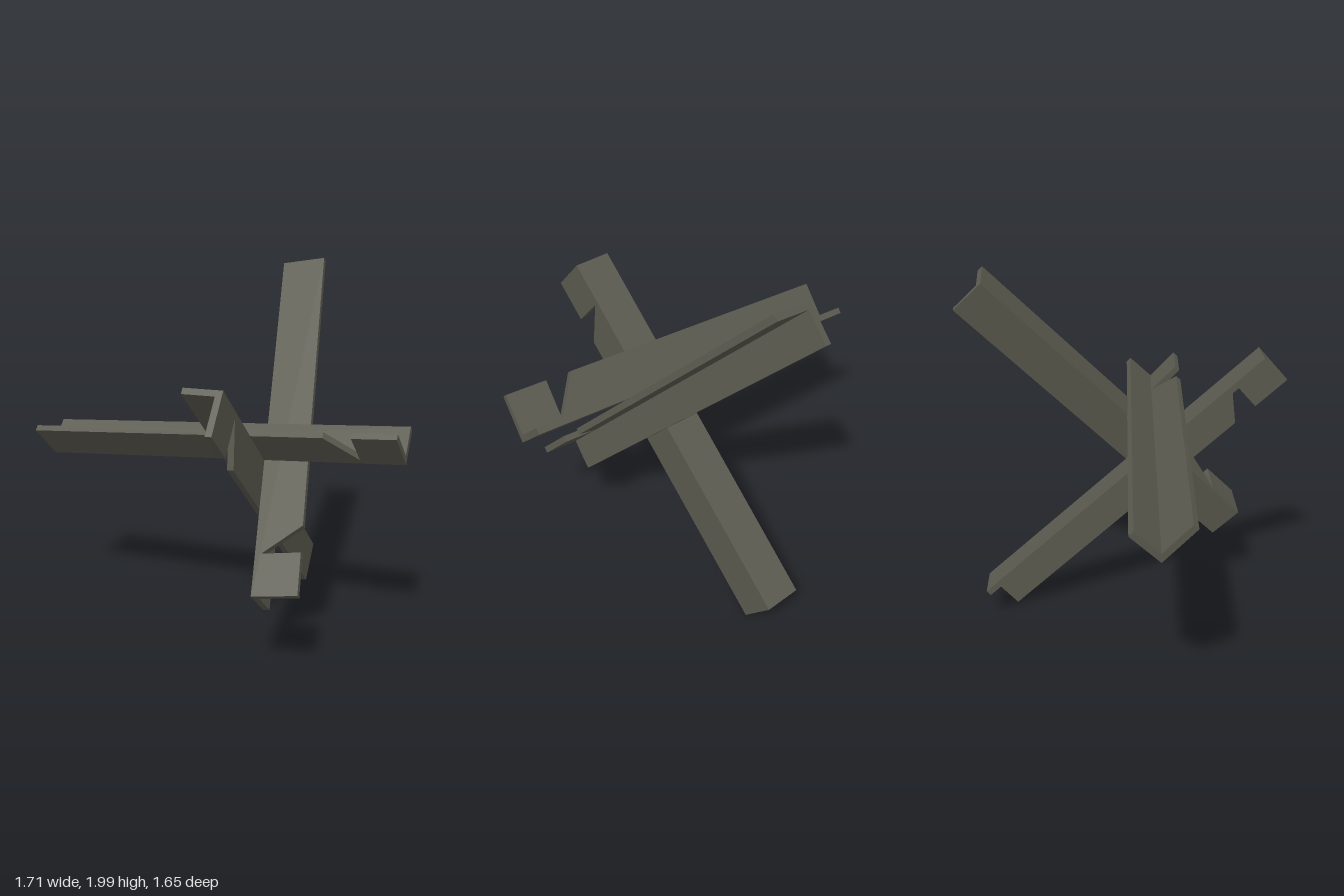
import * as THREE from 'three';

const T = 0.034;       // plate thickness
const W1 = 0.241;      // notched flange width
const W2 = 0.205;      // plain flange width

export function createModel() {
  const group = new THREE.Group();
  group.name = 'crossedBeamObstacle';
  const steel = new THREE.MeshStandardMaterial({ color: 0x5a594e });
  steel.name = 'dark olive steel';

  // plate drawn in x (along the beam) and y (across it), thick in z
  const plate = (points) => new THREE.ExtrudeGeometry(
    new THREE.Shape(points.map(([x, y]) => new THREE.Vector2(x, y))),
    { depth: T, bevelEnabled: false });

  // L-section beam: outer corner edge from start (notched end) to end,
  // the notched flange points along flangeDir
  function beam(name, start, end, flangeDir) {
    const s = new THREE.Vector3(...start);
    const u = new THREE.Vector3(...end).sub(s);
    const len = u.length();
    u.normalize();
    const f1 = new THREE.Vector3(...flangeDir);
    f1.addScaledVector(u, -f1.dot(u)).normalize();
    const f2 = new THREE.Vector3().crossVectors(u, f1);

    const part = new THREE.Group();
    part.name = name;

    // flange with the triangular notch that leaves an end tab
    const notched = new THREE.Mesh(plate([
      [0, 0], [len, 0], [len, W1], [0.374, W1], [0.228, T], [0.228, W1], [0, W1],
    ]), steel);
    notched.name = 'notchedFlange';

    // plain flange at right angles
    const plain = new THREE.Mesh(new THREE.BoxGeometry(len, T, W2 - T), steel);
    plain.position.set(len / 2, T / 2, T + (W2 - T) / 2);
    plain.name = 'plainFlange';

    part.add(notched, plain);
    part.quaternion.setFromRotationMatrix(new THREE.Matrix4().makeBasis(u, f1, f2));
    part.position.copy(s);
    group.add(part);
  }

  beam('levelBeam', [0.73, 1.106, 0.71], [-0.73, 0.92, -0.72], [-0.13, 0.178, 0.11]);
  beam('risingBeam', [-0.071, 0.492, 0.635], [0.648, 1.955, -0.607], [0.18, 0.04, 0.15]);
  beam('fallingBeam', [-0.204, 1.545, 0.598], [0.855, 0.185, -0.525], [-0.104, -0.177, 0.119]);

  return group;
}
